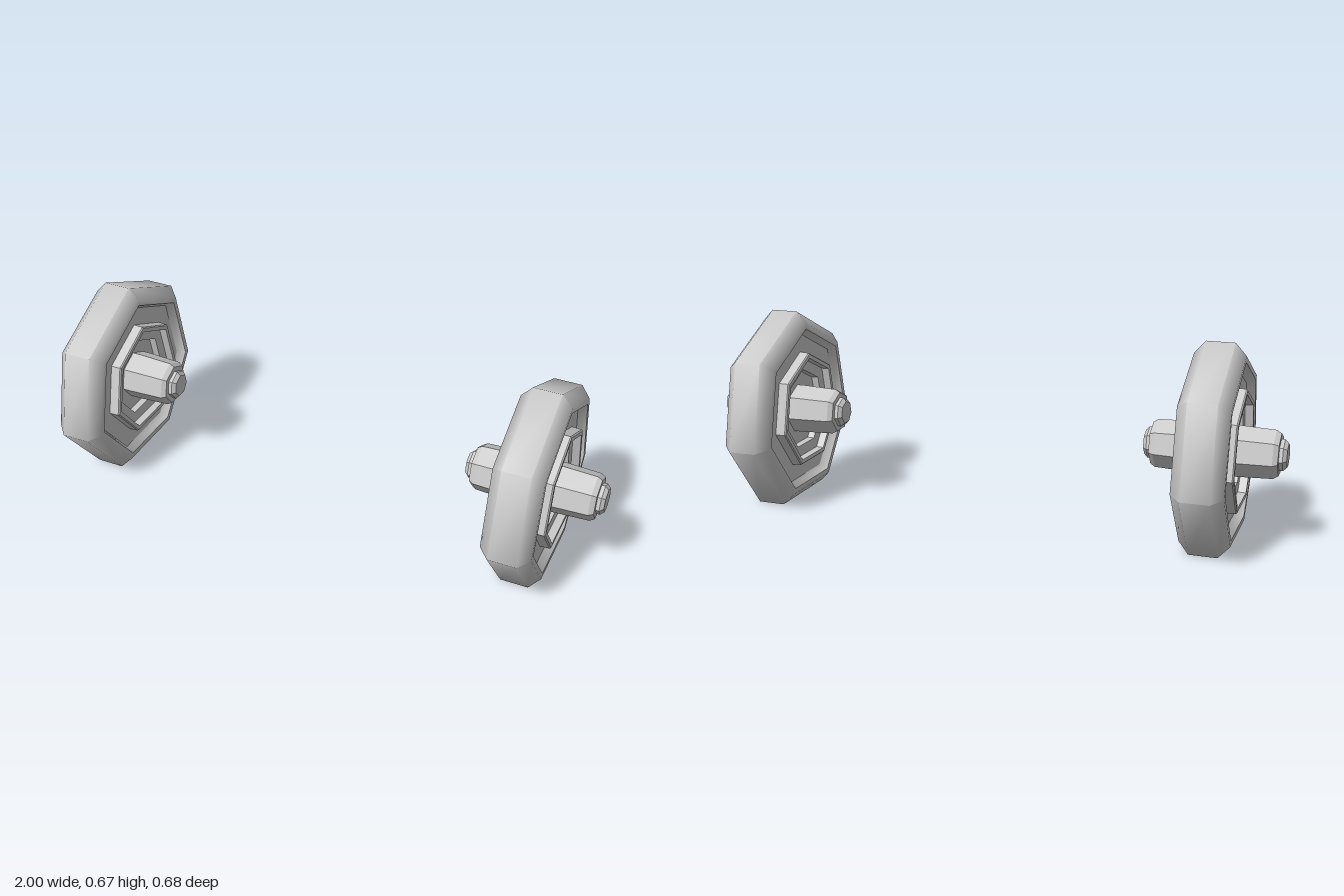
import * as THREE from 'three';
import { toCreasedNormals } from 'three/addons/utils/BufferGeometryUtils.js';

const SIDES = 7;
const AXLE_HEIGHT = 0.315;
const TRACK = 0.77;

// Seven-sided turned solid along x. half: [radius, distance from the mid plane],
// listed from the rim to the axle and mirrored to the other side.
function turned(half) {
  const points = [
    ...half.slice().reverse().map(([r, d]) => new THREE.Vector2(r, -d)),
    ...half.map(([r, d]) => new THREE.Vector2(r, d)),
  ];
  const geometry = new THREE.LatheGeometry(points, SIDES, -Math.PI / 2);
  geometry.rotateZ(-Math.PI / 2);
  return geometry;
}

export function createModel() {
  const smooth = new THREE.MeshStandardMaterial({ color: 0xcccccc });
  const faceted = new THREE.MeshStandardMaterial({ color: 0xcccccc, flatShading: true });

  // Bevelled tyre with a sloping inner lip
  const tyre = toCreasedNormals(
    turned([[0.35, 0.047], [0.31, 0.083], [0.29, 0.083], [0.273, 0.055], [0.26, 0.05]]), 1.0);

  // Wheel disc with a raised ring and a stepped recess round the hub
  const disc = turned([
    [0.28, 0.055], [0.205, 0.055], [0.204, 0.088], [0.2, 0.092],
    [0.185, 0.092], [0.184, 0.065], [0.142, 0.065], [0.141, 0.04], [0.05, 0.04],
  ]);

  // Hub barrel with a bevelled shoulder and a small end cap
  const hub = turned([
    [0.085, 0.07], [0.08, 0.19], [0.07, 0.206], [0.052, 0.206],
    [0.052, 0.218], [0.04, 0.23], [0, 0.23],
  ]);

  const parts = [['tyre', tyre, smooth], ['disc', disc, faceted], ['hub', hub, faceted]];

  const model = new THREE.Group();
  model.name = 'wheelPair';
  for (const [name, side] of [['leftWheel', 1], ['rightWheel', -1]]) {
    const wheel = new THREE.Group();
    wheel.name = name;
    for (const [partName, geometry, material] of parts) {
      const mesh = new THREE.Mesh(geometry, material);
      mesh.name = partName;
      wheel.add(mesh);
    }
    wheel.position.set(side * TRACK, AXLE_HEIGHT, 0);
    model.add(wheel);
  }
  return model;
}
